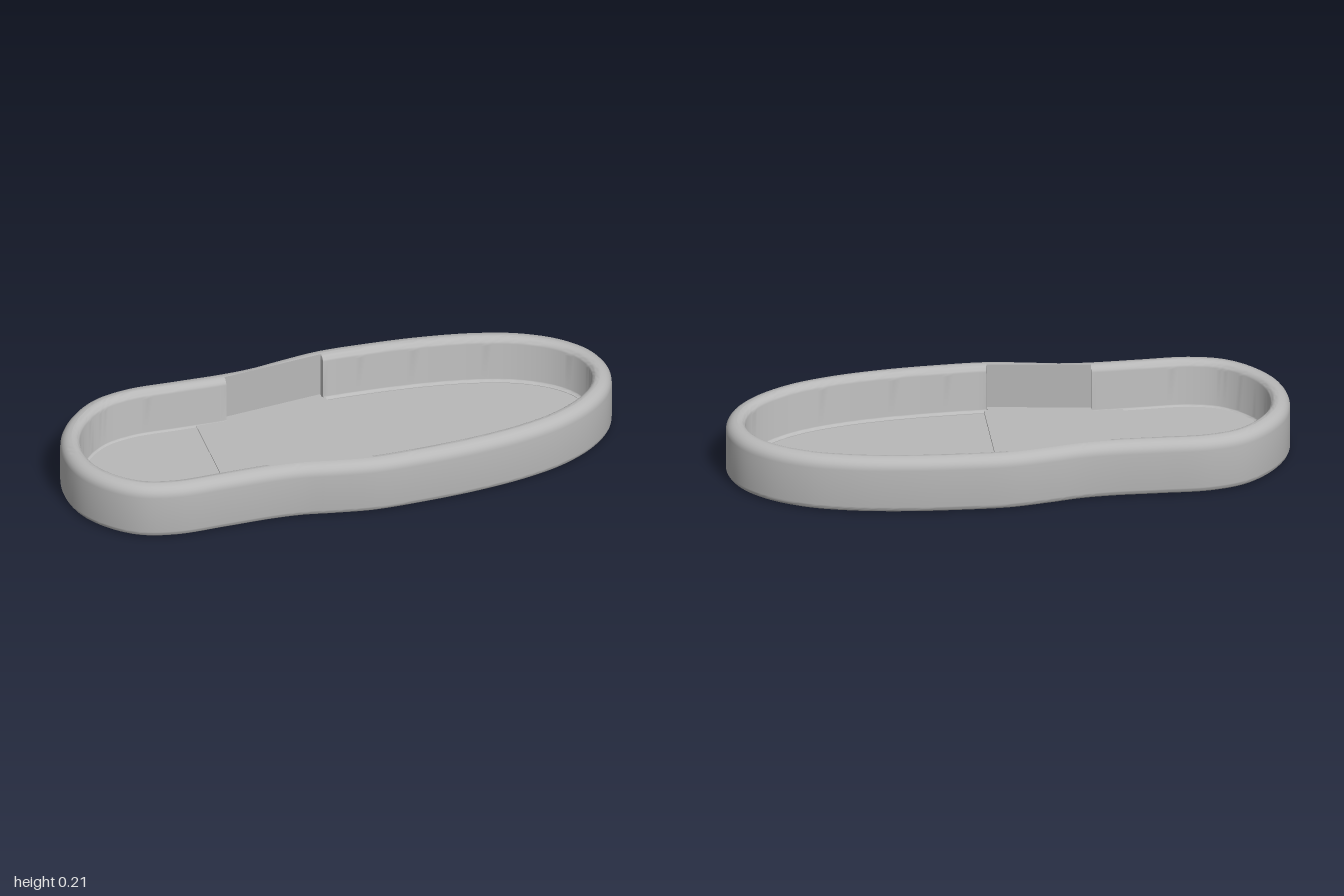
import * as THREE from 'three';
import { toCreasedNormals } from 'three/addons/utils/BufferGeometryUtils.js';

const HEIGHT = 0.208, STEPS = 8;

// Half outline (x, z) from the narrow end to the wide end
const HALF = [[-1, 0], [-0.978, 0.12], [-0.91, 0.225], [-0.81, 0.302], [-0.68, 0.336], [-0.5, 0.336],
  [-0.33, 0.334], [-0.22, 0.341], [-0.11, 0.36], [0.035, 0.38], [0.2, 0.379], [0.4, 0.367], [0.6, 0.337],
  [0.76, 0.288], [0.89, 0.21], [0.97, 0.115], [1, 0]];
const A = 6, B = 9;                       // knots where the recessed side panels start and end
const KNOTS = (HALF.length - 1) * 2;

const curve = new THREE.CatmullRomCurve3(
  [...HALF, ...HALF.slice(1, -1).reverse().map(([x, z]) => [x, -z])].map(([x, z]) => new THREE.Vector3(x, 0, z)),
  true, 'centripetal');

// Point on the outline at sample i, moved inwards by inset and lifted to y
function rimPoint(i, inset, y) {
  const n = KNOTS * STEPS, t = (((i % n) + n) % n) / n;
  const p = curve.getPoint(t), d = curve.getTangent(t);
  return [p.x + d.z * inset, y, p.z - d.x * inset];
}

// Point on the flat recessed panel next to sample i
function panelPoint(i, y) {
  const [x, , z] = rimPoint(i, 0, 0);
  return [x, y, Math.sign(z) * (0.287 + (x + 0.33) * 0.123)];
}

function arc(cx, cy, r, from, to) {
  return Array.from({ length: 7 }, (_, k) => {
    const a = from + (to - from) * k / 6;
    return [cx + r * Math.cos(a), cy + r * Math.sin(a)];
  });
}

// Profiles as [inset, y]
const Q = Math.PI / 2;
const OUTER = [...arc(0.025, 0.025, 0.025, 3 * Q, 2 * Q), ...arc(0.04, HEIGHT - 0.04, 0.04, 2 * Q, Q)];
const INNER = [[0.04, HEIGHT], ...arc(0.042, HEIGHT - 0.028, 0.028, Q, 0), ...arc(0.082, 0.044, 0.012, 2 * Q, 3 * Q), [0.082, 0.015]];

// Surface through rows of points
function loft(rows) {
  const pos = rows.flat(2), w = rows[0].length, index = [];
  for (let i = 0; i < rows.length - 1; i++) for (let j = 0; j < w - 1; j++) {
    const a = i * w + j, b = a + w;
    index.push(a, b, b + 1, a, b + 1, a + 1);
  }
  const g = new THREE.BufferGeometry();
  g.setAttribute('position', new THREE.Float32BufferAttribute(pos, 3));
  g.setIndex(index);
  return toCreasedNormals(g, 0.6);
}

function sweep(k0, k1, section) {
  const rows = [];
  for (let i = k0 * STEPS; i <= k1 * STEPS; i++) rows.push(section(i));
  return loft(rows);
}

// Horizontal plate from a list of points
function plate(points, y0, y1) {
  const shape = new THREE.Shape(points.map(([x, , z]) => new THREE.Vector2(x, -z)));
  const g = new THREE.ExtrudeGeometry(shape, { depth: y1 - y0, bevelEnabled: false });
  return g.rotateX(-Math.PI / 2).translate(0, y0, 0);
}

export function createModel() {
  const group = new THREE.Group();
  const grey = new THREE.MeshStandardMaterial({ color: 0xb8b8b8, side: THREE.DoubleSide });
  grey.name = 'grey';
  const add = (name, geometry) => {
    const m = new THREE.Mesh(geometry, grey);
    m.name = name;
    group.add(m);
  };
  const outer = i => OUTER.map(([d, y]) => rimPoint(i, d, y));
  const inner = i => INNER.map(([d, y]) => rimPoint(i, d, y));
  const panel = i => [rimPoint(i, 0.04, HEIGHT), panelPoint(i, HEIGHT), panelPoint(i, 0.015)];

  // Outer shell and the thick rounded inner walls at both ends
  add('outerWall', sweep(0, KNOTS, outer));
  add('wideEndInnerWall', sweep(B, KNOTS - B, inner));
  add('narrowEndInnerWall', sweep(-A, A, inner));

  // Recessed straight side panels
  add('leftSidePanel', sweep(A, B, panel));
  add('rightSidePanel', sweep(KNOTS - B, KNOTS - A, panel));

  // Small upright steps where the thick wall meets each panel
  for (const k of [A, B, KNOTS - B, KNOTS - A]) {
    const i = k * STEPS;
    add('wallStep', loft([inner(i), INNER.map(([, y]) => panelPoint(i, y))]));
  }

  // Underside
  const base = [];
  for (let i = 0; i < KNOTS * STEPS; i++) base.push(rimPoint(i, 0.025, 0));
  add('base', plate(base, 0, 0.015));

  // Floors: the middle one stands slightly above the wide end
  const edge = (k0, k1) => {
    const pts = [];
    for (let i = k0 * STEPS; i <= k1 * STEPS; i++) pts.push(rimPoint(i, 0.078, 0));
    return pts;
  };
  add('wideEndFloor', plate(edge(B, KNOTS - B), 0.01, 0.03));
  add('narrowEndFloor', plate(edge(-A, A), 0.01, 0.034));
  add('middleFloor', plate([[-0.44, 0, 0.262], [-0.33, 0, 0.262], [-0.33, 0, 0.288], [0.035, 0, 0.333], [0.035, 0, 0.312],
    [0.048, 0, 0.312], [0.048, 0, -0.312], [0.035, 0, -0.312], [0.035, 0, -0.333], [-0.33, 0, -0.288], [-0.33, 0, -0.262],
    [-0.44, 0, -0.262]], 0.01, 0.038));
  return group;
}
